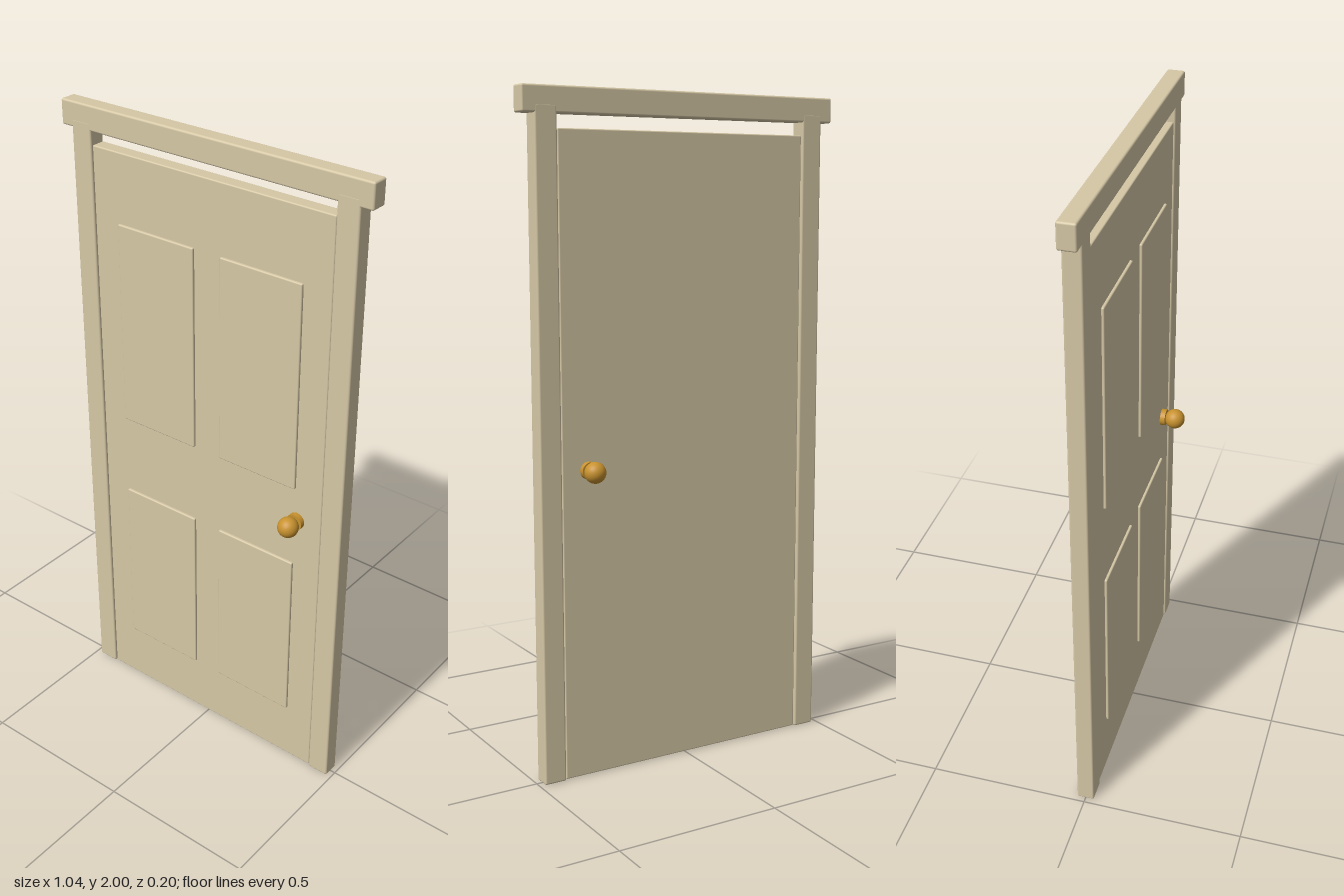
import * as THREE from 'three';
import { RoundedBoxGeometry } from 'three/addons/geometries/RoundedBoxGeometry.js';

export function createModel() {
  const group = new THREE.Group();
  group.name = 'panelDoor';

  const paint = new THREE.MeshStandardMaterial({ color: 0xd6c8a6 });
  paint.name = 'creamPaint';
  const brass = new THREE.MeshStandardMaterial({ color: 0xc8922f });
  brass.name = 'brass';

  // Softly rounded block given by its x and y limits, depth and centre z
  function block(name, x0, x1, y0, y1, depth, z, radius) {
    const geometry = new RoundedBoxGeometry(x1 - x0, y1 - y0, depth, 3, radius);
    const mesh = new THREE.Mesh(geometry, paint);
    mesh.name = name;
    mesh.position.set((x0 + x1) / 2, (y0 + y1) / 2, z);
    group.add(mesh);
  }

  // Frame: the jambs run up into the lintel
  block('lintel', -0.522, 0.522, 1.925, 2, 0.053, 0, 0.006);
  block('leftJamb', 0.415, 0.484, 0, 1.95, 0.0536, 0, 0.006);
  block('rightJamb', -0.484, -0.415, 0, 1.95, 0.0536, 0, 0.006);

  // Door leaf
  block('doorLeaf', -0.413, 0.413, 0.002, 1.886, 0.044, 0, 0.004);

  // Four raised panels on the front only
  for (const [row, y0, y1] of [['upper', 1.03, 1.674], ['lower', 0.195, 0.768]]) {
    block(row + 'LeftPanel', 0.047, 0.322, y0, y1, 0.02, 0.02, 0.004);
    block(row + 'RightPanel', -0.322, -0.047, y0, y1, 0.02, 0.02, 0.004);
  }

  // Knob set on both faces: rose, neck and ball
  for (const [side, dir] of [['front', 1], ['back', -1]]) {
    const knob = new THREE.Group();
    knob.name = side + 'Knob';
    knob.position.set(0.33, 0.924, 0);
    knob.rotation.x = dir * Math.PI / 2;

    const rose = new THREE.Mesh(new THREE.CylinderGeometry(0.026, 0.026, 0.018, 32), brass);
    rose.name = 'rose';
    rose.position.y = 0.029;
    const neck = new THREE.Mesh(new THREE.CylinderGeometry(0.012, 0.012, 0.03, 24), brass);
    neck.name = 'neck';
    neck.position.y = 0.045;
    const ball = new THREE.Mesh(new THREE.SphereGeometry(0.0315, 32, 20), brass);
    ball.name = 'ball';
    ball.position.y = 0.066;

    knob.add(rose, neck, ball);
    group.add(knob);
  }

  return group;
}
